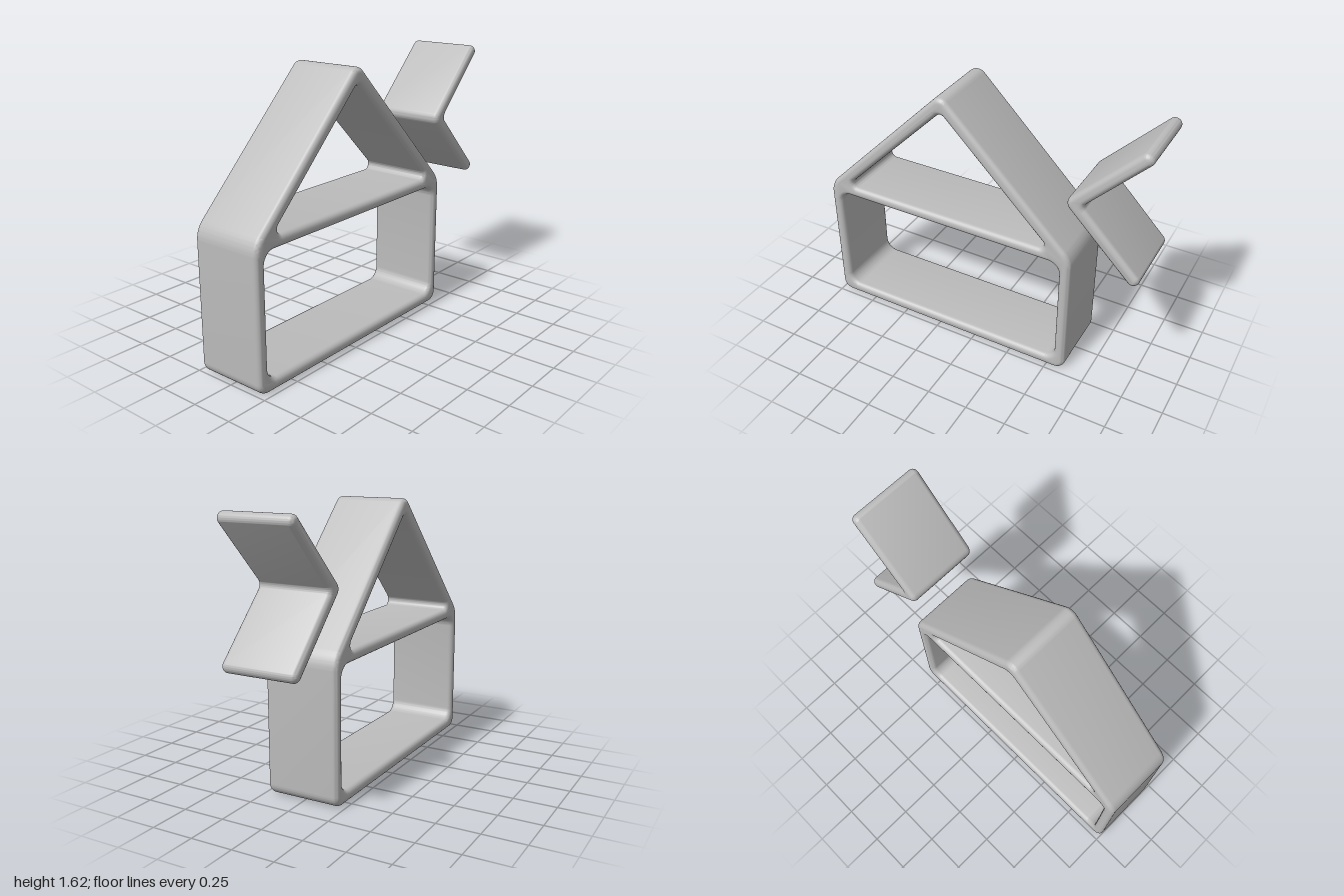
import * as THREE from 'three';
import { toCreasedNormals } from 'three/addons/utils/BufferGeometryUtils.js';

const DEPTH = 0.45;
const BEVEL = 0.03;

// Traces a closed outline of [x, y, cornerRadius] with true arcs at its corners.
function roundedOutline(path, corners) {
  const n = corners.length;
  corners.forEach(([x, y, r], i) => {
    const p = new THREE.Vector2(x, y);
    const a = new THREE.Vector2(...corners[(i + n - 1) % n]).sub(p).normalize();
    const b = new THREE.Vector2(...corners[(i + 1) % n]).sub(p).normalize();
    const half = Math.acos(a.dot(b)) / 2;
    const t = r / Math.tan(half);
    const start = p.clone().addScaledVector(a, t);
    const end = p.clone().addScaledVector(b, t);
    const c = a.clone().add(b).normalize().multiplyScalar(r / Math.sin(half)).add(p);
    if (i === 0) path.moveTo(start.x, start.y);
    path.absarc(c.x, c.y, r,
      Math.atan2(start.y - c.y, start.x - c.x),
      Math.atan2(end.y - c.y, end.x - c.x),
      a.cross(b) > 0);
  });
  path.closePath();
  return path;
}

// Extrudes an outline into a soft-edged band centred on z = 0.
function softBand(name, shape, material) {
  const geometry = new THREE.ExtrudeGeometry(shape, {
    depth: DEPTH - 2 * BEVEL,
    curveSegments: 8,
    bevelEnabled: true,
    bevelThickness: BEVEL,
    bevelSize: BEVEL,
    bevelOffset: -BEVEL,
    bevelSegments: 5,
  });
  geometry.translate(0, 0, -DEPTH / 2 + BEVEL);
  const mesh = new THREE.Mesh(toCreasedNormals(geometry, 0.7), material);
  mesh.name = name;
  return mesh;
}

export function createModel() {
  const group = new THREE.Group();
  group.name = 'houseShelf';
  const grey = new THREE.MeshStandardMaterial({ color: 0xbcbcbc });
  grey.name = 'grey';

  // House frame: walls, floor, cross bar and gable in one band
  const house = roundedOutline(new THREE.Shape(), [
    [-1, 0, 0.065], [0.615, 0, 0.065], [0.615, 0.83, 0.15],
    [-0.192, 1.64, 0.06], [-1, 0.83, 0.15],
  ]);
  // Lower room opening
  house.holes.push(roundedOutline(new THREE.Path(), [
    [-0.932, 0.07, 0.07], [-0.932, 0.782, 0.07],
    [0.547, 0.782, 0.07], [0.547, 0.07, 0.07],
  ]));
  // Attic opening
  house.holes.push(roundedOutline(new THREE.Path(), [
    [-0.875, 0.85, 0.03], [-0.192, 1.53, 0.035], [0.49, 0.85, 0.03],
  ]));
  group.add(softBand('houseFrame', house, grey));

  // Separate chevron beside the roof
  const chevron = roundedOutline(new THREE.Shape(), [
    [0.548, 1.205, 0.05], [1.015, 0.832, 0.036], [0.963, 0.78, 0.036],
  ].slice(0, 1).concat([
    [0.967, 0.782, 0.036], [1.017, 0.834, 0.036],
    [0.655, 1.205, 0.03],
    [1.017, 1.576, 0.036], [0.967, 1.628, 0.036],
  ]));
  group.add(softBand('chevron', chevron, grey));

  return group;
}
